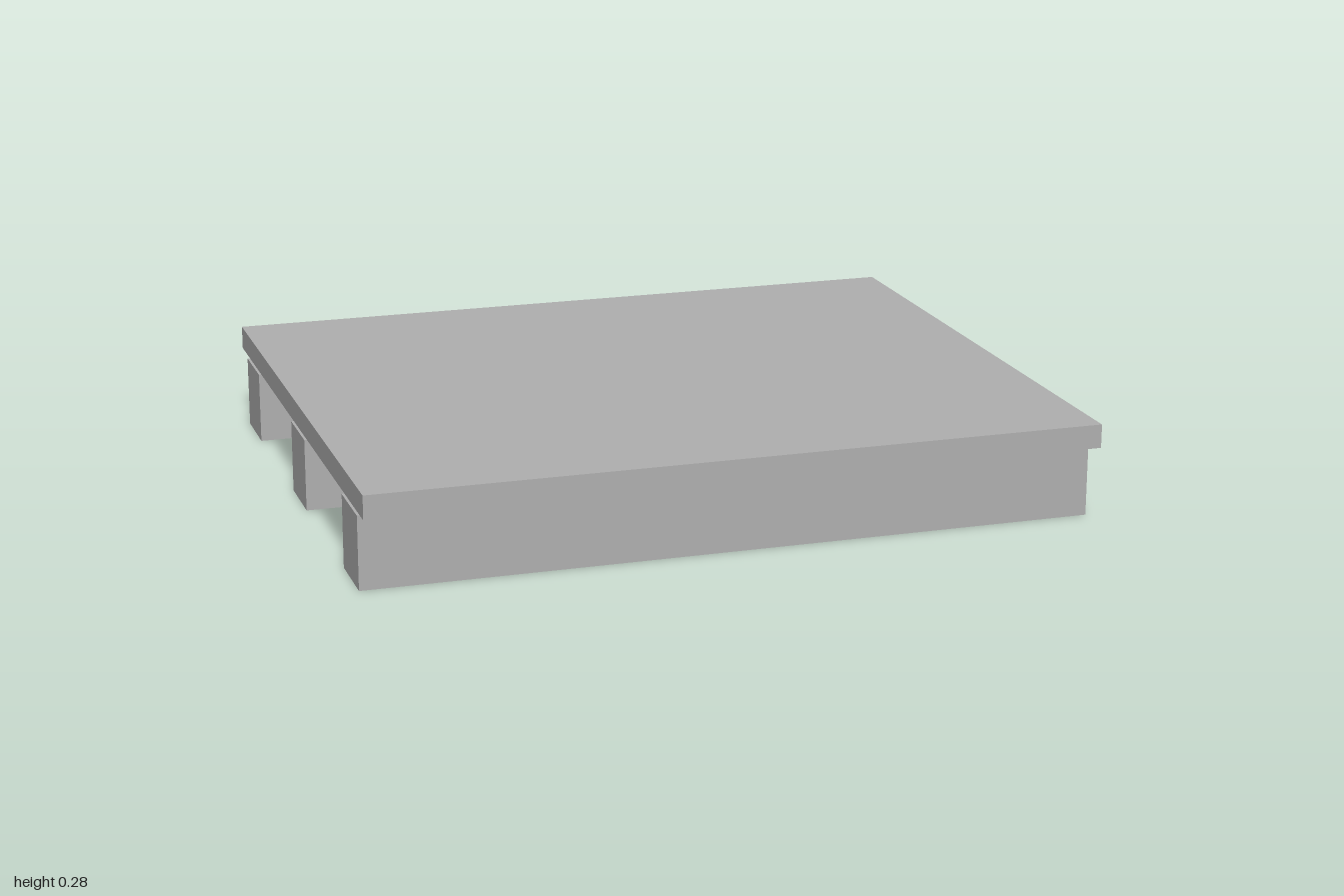
import * as THREE from 'three';

export function createModel() {
  const group = new THREE.Group();
  group.name = 'pallet';
  const grey = new THREE.MeshStandardMaterial({ color: 0xb0b0b0 });
  grey.name = 'plain grey';

  // Adds a full-width box spanning the heights bottom to top.
  const addSlab = (name, bottom, top, depth, z) => {
    const mesh = new THREE.Mesh(new THREE.BoxGeometry(2, top - bottom, depth), grey);
    mesh.name = name;
    mesh.position.set(0, (bottom + top) / 2, z);
    group.add(mesh);
  };

  // Flat deck, held just clear of the runners
  addSlab('deck', 0.212, 0.277, 1.665, 0);

  // Three parallel runners
  const runners = { backRunner: -0.665, middleRunner: 0, frontRunner: 0.665 };
  for (const [name, z] of Object.entries(runners)) addSlab(name, 0, 0.2, 0.182, z);

  return group;
}
